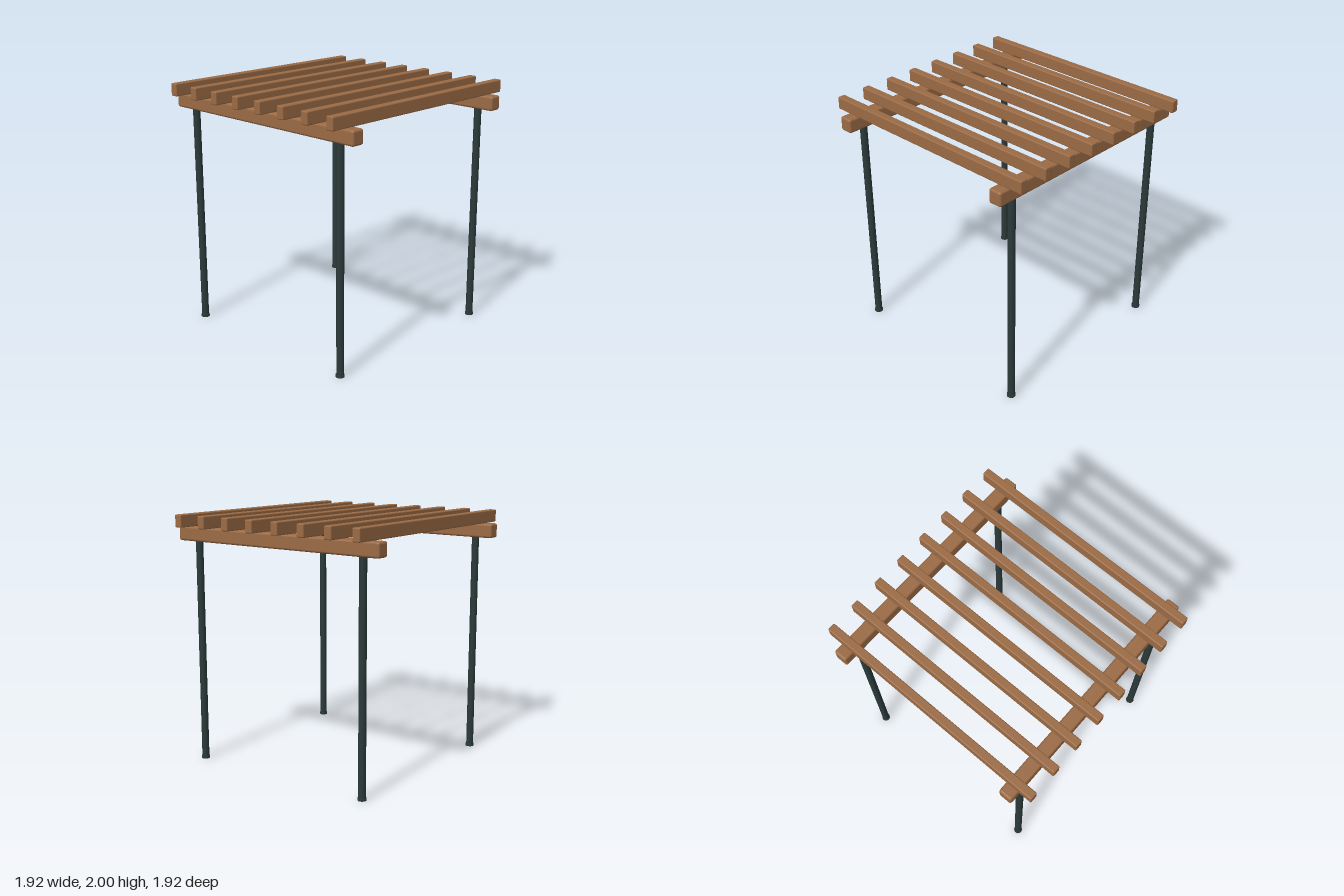
import * as THREE from 'three';
import { RoundedBoxGeometry } from 'three/addons/geometries/RoundedBoxGeometry.js';

export function createModel() {
  const model = new THREE.Group();
  model.name = 'pergola';

  const wood = new THREE.MeshStandardMaterial({ color: 0x9b6b45 });
  wood.name = 'brown wood';
  const metal = new THREE.MeshStandardMaterial({ color: 0x2b3a3a });
  metal.name = 'dark green metal';

  const add = (name, geometry, material, x, y, z) => {
    const mesh = new THREE.Mesh(geometry, material);
    mesh.name = name;
    mesh.position.set(x, y, z);
    model.add(mesh);
  };

  const span = 0.79; // post distance from the centre
  const length = 1.92; // beams and rafters
  const beamBottom = 1.785, beamTop = 1.9;
  const beamHeight = beamTop - beamBottom;

  // Four round posts, each with a slim foot plate
  const postHeight = beamBottom + 0.02;
  const postGeometry = new THREE.CylinderGeometry(0.029, 0.029, postHeight, 20);
  const footGeometry = new THREE.CylinderGeometry(0.034, 0.034, 0.018, 20);
  for (const x of [-span, span]) {
    for (const z of [-span, span]) {
      add('post', postGeometry, metal, x, postHeight / 2, z);
      add('postFoot', footGeometry, metal, x, 0.009, z);
    }
  }

  // Front and back beams
  const beamGeometry = new RoundedBoxGeometry(length, beamHeight, 0.11, 3, 0.018);
  for (const z of [-span, span]) {
    add('beam', beamGeometry, wood, 0, (beamBottom + beamTop) / 2, z);
  }

  // Eight evenly spaced rafters across the beams
  const rafterCount = 8;
  const rafterHeight = 2 - beamTop;
  const rafterGeometry = new RoundedBoxGeometry(0.064, rafterHeight, length, 3, 0.009);
  for (let i = 0; i < rafterCount; i++) {
    const x = -0.85 + (1.7 * i) / (rafterCount - 1);
    add('rafter', rafterGeometry, wood, x, beamTop + rafterHeight / 2, 0);
  }

  return model;
}
